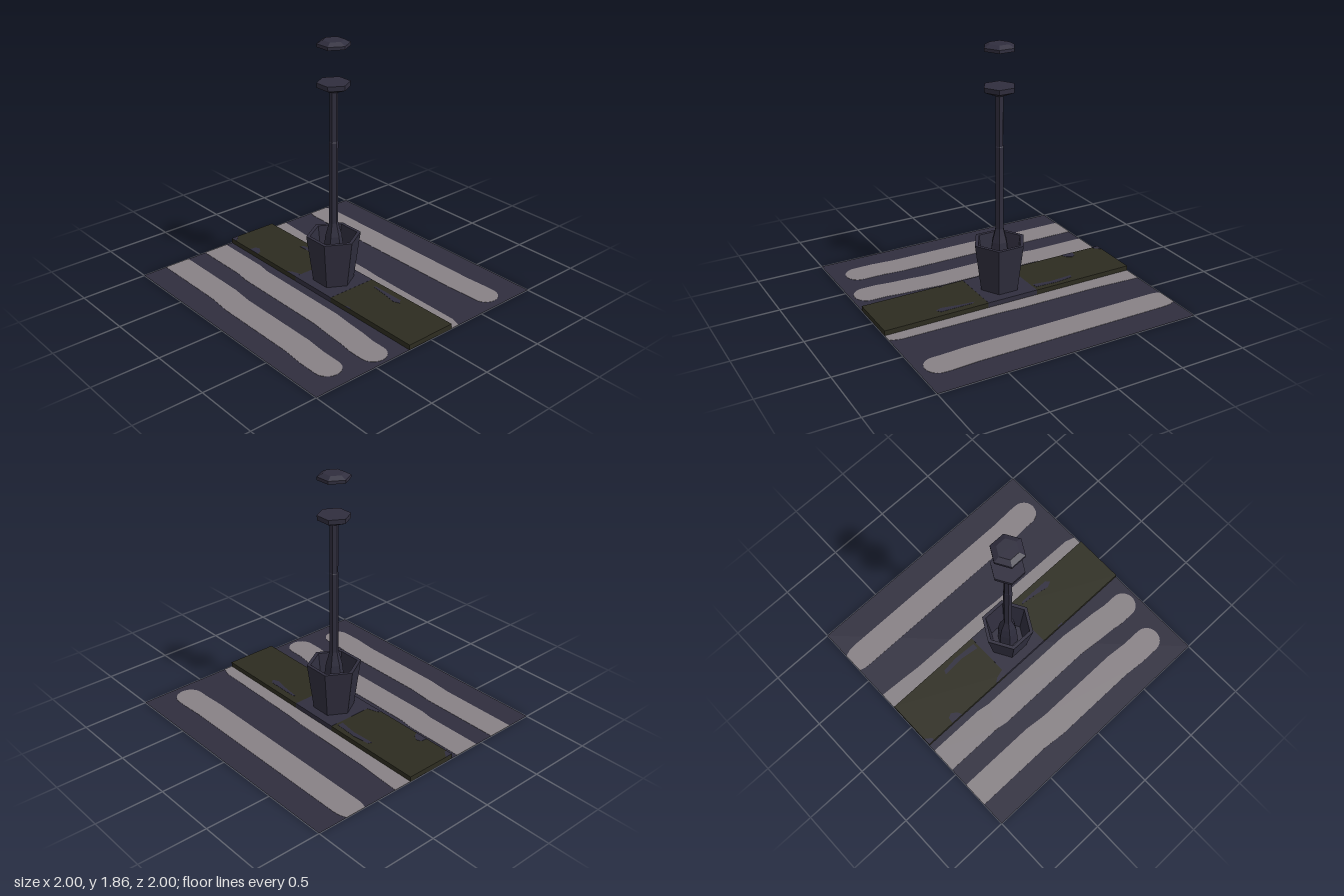
import * as THREE from 'three';

function flat(name, color, side = THREE.FrontSide) {
  const m = new THREE.MeshStandardMaterial({ color, flatShading: true, side });
  m.name = name;
  return m;
}

export function createModel() {
  const group = new THREE.Group();
  group.name = 'streetLampOnMedian';

  const slate = flat('slate', 0x302e3e);
  const slateSheet = flat('slateSheet', 0x302e3e, THREE.DoubleSide);
  const olive = flat('olive', 0x2d2c20);
  const paint = flat('roadPaint', 0x878185);

  const add = (name, geometry, material, x = 0, y = 0, z = 0) => {
    const mesh = new THREE.Mesh(geometry, material);
    mesh.name = name;
    mesh.position.set(x, y, z);
    group.add(mesh);
    return mesh;
  };

  // Flat slab cut from an outline in x and z, from y up to y + thickness
  const slab = (name, outline, y, thickness, material) => {
    const shape = new THREE.Shape(outline.map(([x, z]) => new THREE.Vector2(x, z)));
    const g = new THREE.ExtrudeGeometry(shape, { depth: thickness, bevelEnabled: false });
    g.rotateX(Math.PI / 2);
    add(name, g, material, 0, y + thickness, 0);
  };

  // Six-sided turned part with corners on the z axis
  const hexLathe = (name, profile) =>
    add(name, new THREE.LatheGeometry(profile.map(([r, y]) => new THREE.Vector2(r, y)), 6), slate);

  // Road sheet
  add('road', new THREE.PlaneGeometry(2, 2).rotateX(-Math.PI / 2), slateSheet, 0, 0.002, 0);

  // Painted lane stripes: [centre x, z, half width], with an optional round end
  const stripes = [
    { round: true, path: [[-0.71, -1], [-0.71, -0.38], [-0.728, -0.2], [-0.728, 0.48], [-0.743, 0.65], [-0.743, 0.8]] },
    { round: true, path: [[-0.355, -1], [-0.355, -0.55], [-0.37, -0.45], [-0.37, 0.35], [-0.385, 0.5], [-0.395, 0.65], [-0.41, 0.76], [-0.41, 0.87]] },
    { round: true, path: [[-0.06, -1], [-0.06, 0], [-0.07, 0.85]] },
    { round: false, path: [[0.24, -1], [0.23, -0.8], [0.22, -0.65], [0.215, 0], [0.205, 0.15], [0.2, 0.5], [0.195, 0.92], [0.17, 1]] },
    { round: true, path: [[0.69, -1, 0.08], [0.693, -0.95, 0.096], [0.695, -0.9], [0.695, 0.6], [0.705, 0.78], [0.705, 0.845]] },
  ];
  stripes.forEach(({ round, path }) => {
    const right = path.map(([x, z, w = 0.1]) => [x + w, z]);
    const left = path.map(([x, z, w = 0.1]) => [x - w, z]).reverse();
    const end = [];
    const [ex, ez] = path[path.length - 1];
    if (round) {
      for (let i = 1; i < 12; i++) {
        const a = (i / 12) * Math.PI;
        end.push([ex + 0.1 * Math.cos(a), ez + 0.1 * Math.sin(a)]);
      }
    }
    slab('laneStripe', [...right, ...end, ...left], 0, 0.004, paint);
  });

  // Raised median in two lengths with a plinth between them
  for (const s of [1, -1]) {
    add('median', new THREE.BoxGeometry(0.4, 0.037, 0.8), olive, 0, 0.0215, 0.6 * s);
  }
  add('plinth', new THREE.BoxGeometry(0.4, 0.038, 0.4), slate, 0, 0.022, 0);

  // Bare worn patches on the median
  const patches = [
    [[-0.2, -0.76], [-0.15, -0.755], [-0.135, -0.72], [-0.16, -0.68], [-0.2, -0.66]],
    [[0.12, -0.54], [0.15, -0.53], [0.165, -0.4], [0.155, -0.22], [0.11, -0.22], [0.13, -0.36]],
    [[0.135, 0.28], [0.15, 0.3], [0.15, 0.55], [0.12, 0.575], [0.1, 0.53], [0.12, 0.42]],
    [[-0.2, -0.31], [-0.17, -0.27], [-0.15, -0.2], [-0.2, -0.2]],
    [[-0.2, -1], [-0.14, -1], [-0.18, -0.95], [-0.2, -0.95]],
    [[-0.2, 0.35], [-0.185, 0.37], [-0.187, 0.4], [-0.2, 0.41]],
  ];
  patches.forEach((p) => slab('wornPatch', p, 0.0385, 0.003, slate));

  // Hollow tapered planter
  hexLathe('planter', [[0, 0], [0.11, 0], [0.15, 0.03], [0.2, 0.402], [0.172, 0.402], [0.13, 0.08], [0, 0.08]]);

  // Post with a flared foot and slightly slimmer upper length
  hexLathe('post', [[0.08, 0.08], [0.075, 0.28], [0.06, 0.4], [0.046, 0.45], [0.033, 0.5], [0.033, 1.12], [0.03, 1.125], [0.03, 1.5]]);

  // Lantern base and the separate cap above it
  hexLathe('lanternBase', [[0, 1.49], [0.035, 1.49], [0.117, 1.525], [0.119, 1.56], [0, 1.56]]);
  hexLathe('lanternCap', [[0, 1.812], [0.117, 1.812], [0.117, 1.835], [0.075, 1.857], [0, 1.857]]);

  return group;
}
